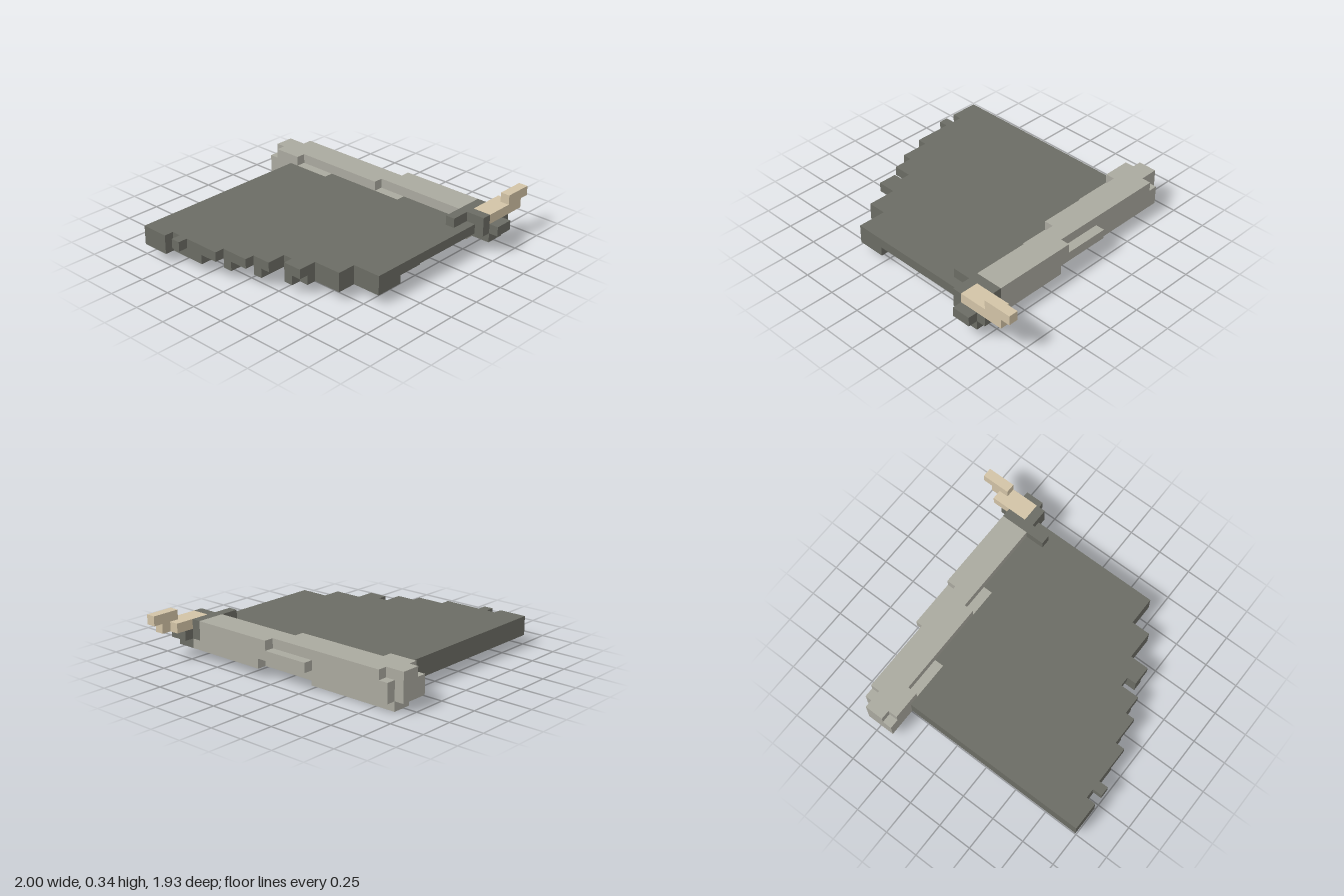
import * as THREE from 'three';

const U = 2 / 29; // one block

export function createModel() {
  const model = new THREE.Group();
  const skin = new THREE.MeshStandardMaterial({ color: 0x6b6c64 });
  skin.name = 'dark wing skin';
  const bone = new THREE.MeshStandardMaterial({ color: 0xaaa99f });
  bone.name = 'light grey bone';
  const horn = new THREE.MeshStandardMaterial({ color: 0xd2c3a6 });
  horn.name = 'tan claw';

  // Each box is [x0, x1, z0, z1] in blocks, on layers y0 to y1
  function part(name, material, y0, y1, boxes) {
    const group = new THREE.Group();
    group.name = name;
    for (const [x0, x1, z0, z1] of boxes) {
      const geometry = new THREE.BoxGeometry((x1 - x0) * U, (y1 - y0) * U, (z1 - z0) * U);
      geometry.translate(((x0 + x1) / 2 - 14.5) * U, ((y0 + y1) / 2) * U, ((z0 + z1) / 2 - 14) * U);
      const mesh = new THREE.Mesh(geometry, material);
      mesh.name = name;
      group.add(mesh);
    }
    model.add(group);
  }

  // Wing skin with its ragged trailing edge
  part('membrane', skin, 2, 3, [
    [0, 20, 3, 6], [1, 20, 6, 7], [0, 20, 7, 8], [1, 21, 8, 12], [2, 21, 12, 15],
    [3, 21, 15, 17], [5, 22, 17, 18], [4, 22, 18, 20], [6, 22, 20, 23], [8, 22, 23, 26],
  ]);

  // Finger ribs under the skin, joined by short rims at the trailing edge
  part('fingerRibs', skin, 1, 2, [
    [0, 21, 3, 6], [1, 21, 8, 10], [2, 18, 12, 13], [3, 16, 15, 16],
    [4, 15, 18, 19], [6, 15, 21, 22], [8, 15, 23, 25],
  ]);
  part('trailingRim', skin, 1, 2, [
    [1, 3, 6, 8], [5, 8, 19, 20], [6, 8, 20, 21], [6, 10, 22, 23], [8, 11, 25, 26],
  ]);

  // Arm bone, layer by layer from the bottom
  part('armBoneKeel', bone, 0, 1, [[21, 22, 1, 9], [22, 23, 1, 11]]);
  part('armBoneLower', bone, 1, 2, [
    [20, 23, 0, 1], [20, 24, 1, 3], [21, 24, 3, 16], [21, 25, 16, 17], [22, 25, 17, 25],
  ]);
  part('armBoneMiddle', bone, 2, 3, [
    [20, 23, 0, 1], [20, 24, 1, 8], [21, 24, 8, 10], [21, 25, 10, 17], [22, 25, 17, 24],
  ]);
  part('armBoneUpper', bone, 3, 4, [
    [21, 23, 0, 1], [20, 23, 1, 2], [20, 24, 2, 4], [21, 24, 4, 14],
    [22, 24, 14, 15], [22, 25, 15, 24],
  ]);

  // Dark knuckle at the front of the arm
  part('knuckleUpper', skin, 3, 4, [[20, 25, 24, 25], [22, 23, 25, 27]]);
  part('knuckleMiddle', skin, 2, 3, [[22, 25, 24, 25], [22, 26, 25, 27], [23, 25, 27, 28]]);
  part('knuckleLower', skin, 1, 2, [[23, 25, 25, 27]]);

  // Hooked claw
  part('clawBase', horn, 3, 4, [[23, 27, 25, 26], [23, 28, 26, 27]]);
  part('clawTip', horn, 4, 5, [[26, 29, 26, 27]]);

  return model;
}
